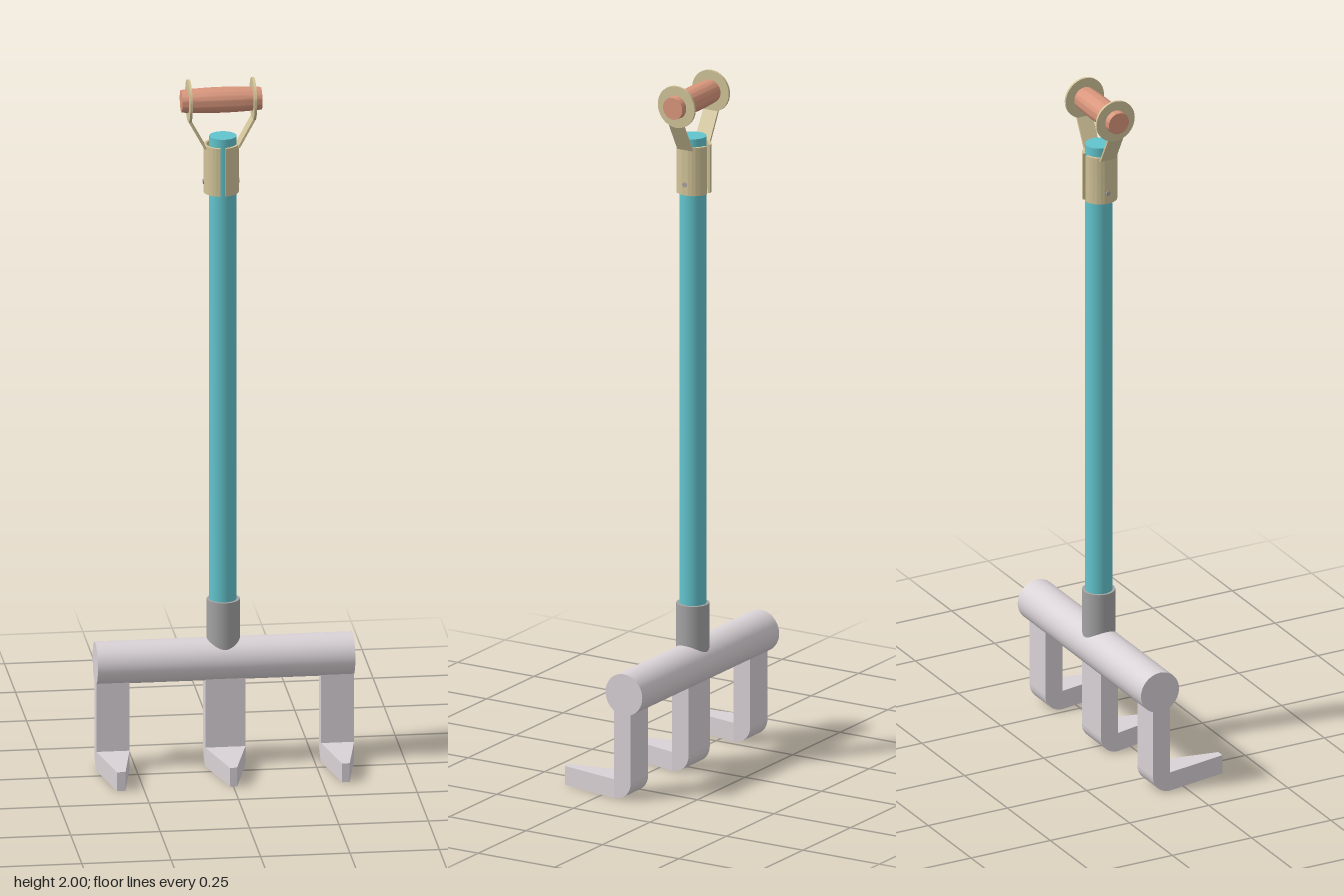
import * as THREE from 'three';
import { toCreasedNormals } from 'three/addons/utils/BufferGeometryUtils.js';

const AXIS_Z = -0.078;
const paint = (color) => new THREE.MeshStandardMaterial({ color });
const steel = paint(0xd9d2d6);
const socketGrey = paint(0xa3a3a3);
const teal = paint(0x62c4cd);
const brass = paint(0xd2c499);
const copper = paint(0xd9967c);

function add(parent, name, geometry, material, x = 0, y = 0, z = 0) {
  const mesh = new THREE.Mesh(geometry, material);
  mesh.name = name;
  mesh.position.set(x, y, z);
  parent.add(mesh);
  return mesh;
}

// Shifts every vertex by a rule, then rebuilds the normals
function bend(geometry, rule) {
  const p = geometry.attributes.position;
  const v = new THREE.Vector3();
  for (let i = 0; i < p.count; i++) {
    rule(v.fromBufferAttribute(p, i));
    p.setXYZ(i, v.x, v.y, v.z);
  }
  geometry.computeVertexNormals();
  return geometry;
}

// Extrudes a (z, y) outline sideways, centred on x = 0
function plate(shape, width) {
  const g = new THREE.ExtrudeGeometry(shape, { depth: width, bevelEnabled: false, curveSegments: 24 });
  g.translate(0, 0, -width / 2).rotateY(-Math.PI / 2);
  return toCreasedNormals(g, 0.6);
}

// Bent tine: upright leg with a rounded heel, and a foot tapering to the front
function makeTine(width, tipWidth) {
  const tine = new THREE.Group();
  tine.name = 'tine';
  const back = -0.1, front = -0.046, tip = 0.137, foot = 0.055, heel = 0.052;
  const s = new THREE.Shape();
  s.moveTo(front, 0);
  s.lineTo(front, 0.3);
  s.lineTo(back, 0.3);
  s.lineTo(back, heel);
  s.absarc(back + heel, heel, heel, Math.PI, Math.PI * 1.5, false);
  s.closePath();
  add(tine, 'tineLeg', plate(s, width), steel);
  const g = new THREE.BoxGeometry(width, foot, tip - front);
  bend(g, (v) => { if (v.z > 0) v.x *= tipWidth / width; });
  add(tine, 'tineFoot', g, steel, 0, foot / 2, (tip + front) / 2);
  return tine;
}

// One side of the handle fork: clasp shell, sloping strap, eye and rivet
function makeForkSide() {
  const side = new THREE.Group();
  side.name = 'forkSide';

  const a = Math.PI / 2 - 0.16;
  const arc = new THREE.Shape();
  arc.absarc(0, 0, 0.049, -a, a, false);
  arc.absarc(0, 0, 0.041, a, -a, true);
  arc.closePath();
  const shell = new THREE.ExtrudeGeometry(arc, { depth: 0.14, bevelEnabled: false, curveSegments: 24 });
  shell.rotateX(-Math.PI / 2);
  add(side, 'claspShell', toCreasedNormals(shell, 0.6), brass, 0, 1.672, 0);

  const strap = new THREE.BoxGeometry(0.007, 0.081, 0.048);
  bend(strap, (v) => { v.x += v.y > 0 ? 0.09 : 0.046; });
  add(side, 'forkStrap', strap, brass, 0, 1.8445, 0);

  const eye = new THREE.Shape();
  eye.absarc(0, 0, 0.06, 0, Math.PI * 2, false);
  const hole = new THREE.Path();
  hole.absarc(0, 0, 0.033, 0, Math.PI * 2, true);
  eye.holes.push(hole);
  add(side, 'forkEye', plate(eye, 0.007), brass, 0.09, 1.94, 0);

  const rivet = new THREE.CylinderGeometry(0.007, 0.007, 0.006, 12).rotateZ(Math.PI / 2);
  add(side, 'rivet', rivet, socketGrey, 0.048, 1.703, 0);
  return side;
}

export function createModel() {
  const model = new THREE.Group();
  model.name = 'handCultivator';

  // Head: round crossbar and three tines
  const bar = new THREE.CylinderGeometry(0.06, 0.06, 0.72, 40).rotateZ(Math.PI / 2);
  add(model, 'crossbar', bar, steel, 0, 0.305, AXIS_Z);
  for (const [x, width, tip] of [[-0.314, 0.092, 0.024], [0, 0.112, 0.02], [0.314, 0.092, 0.022]]) {
    const tine = makeTine(width, tip);
    tine.position.x = x;
    model.add(tine);
  }

  // Socket and shaft
  add(model, 'socket', new THREE.CylinderGeometry(0.046, 0.046, 0.18, 40), socketGrey, -0.002, 0.39, AXIS_Z);
  add(model, 'shaft', new THREE.CylinderGeometry(0.038, 0.038, 1.37, 40), teal, -0.003, 1.15, AXIS_Z);

  // Fork and grip at the top
  const handle = new THREE.Group();
  handle.name = 'handle';
  handle.position.set(-0.008, 0, AXIS_Z);
  for (const turn of [0, Math.PI]) {
    const side = makeForkSide();
    side.rotation.y = turn;
    handle.add(side);
  }
  const profile = [new THREE.Vector2(0, -0.112)];
  for (let i = 0; i <= 12; i++) {
    const t = i / 6 - 1;
    profile.push(new THREE.Vector2(0.036 - 0.0045 * t * t, t * 0.112));
  }
  profile.push(new THREE.Vector2(0, 0.112));
  const grip = toCreasedNormals(new THREE.LatheGeometry(profile, 36), 0.6).rotateZ(Math.PI / 2);
  add(handle, 'grip', grip, copper, 0, 1.94, 0);
  model.add(handle);

  return model;
}
